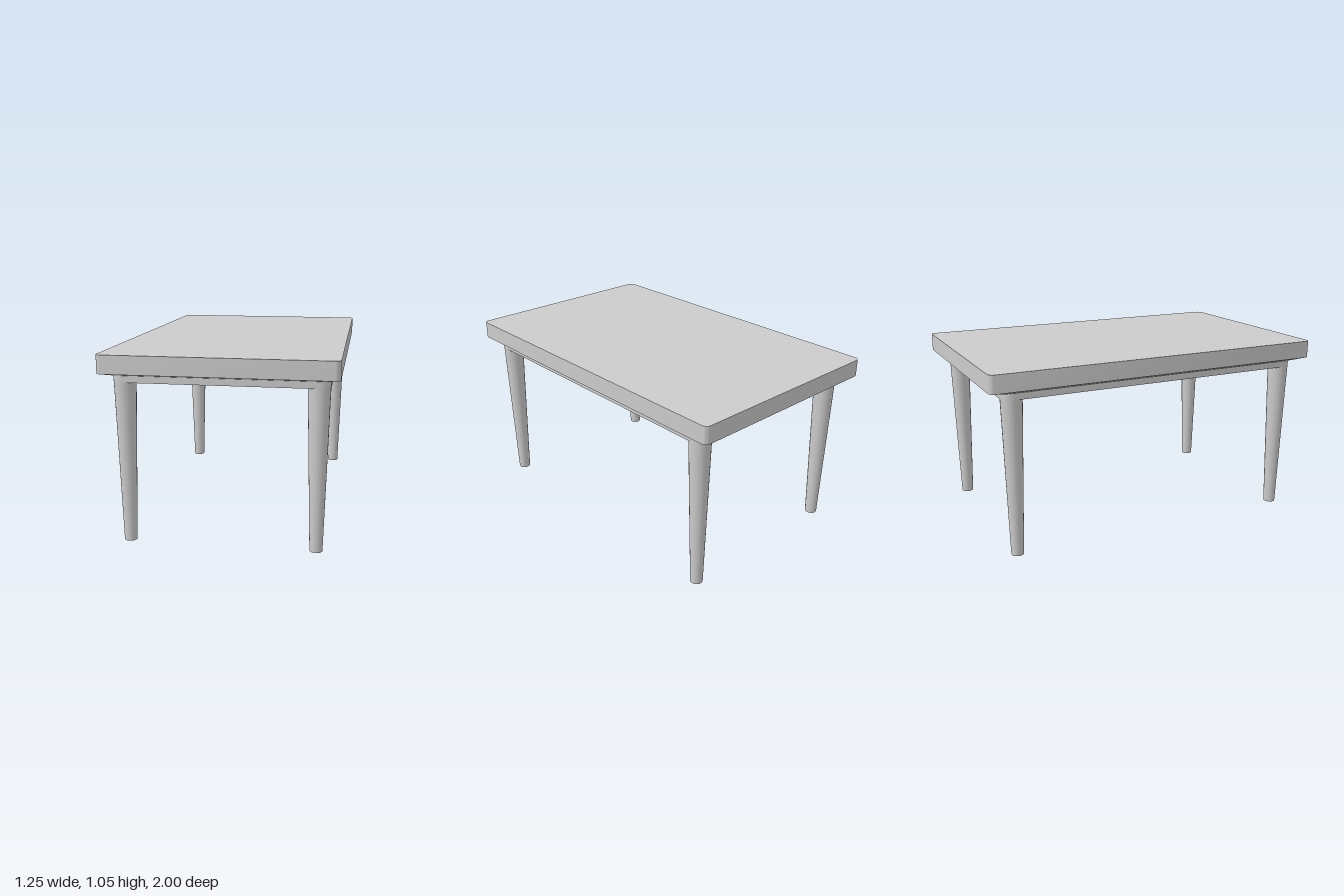
import * as THREE from 'three';
import { toCreasedNormals } from 'three/addons/utils/BufferGeometryUtils.js';

const material = new THREE.MeshStandardMaterial({ color: 0xcccccc });
const CORNER_STEPS = 6;

// Closed outline of a rounded rectangle, walked from +x towards +z
function roundedRing({ y, halfX, halfZ, radius }) {
  const ring = [];
  const signs = [[1, 1], [-1, 1], [-1, -1], [1, -1]];
  signs.forEach(([sx, sz], corner) => {
    for (let i = 0; i <= CORNER_STEPS; i++) {
      const a = (corner + i / CORNER_STEPS) * Math.PI / 2;
      ring.push(new THREE.Vector3(
        sx * (halfX - radius) + radius * Math.cos(a), y,
        sz * (halfZ - radius) + radius * Math.sin(a)));
    }
  });
  return ring;
}

// Solid slab through rounded sections listed from bottom to top
function slab(sections) {
  const rings = sections.map(roundedRing);
  const n = rings[0].length;
  const points = rings.flat();
  const last = (rings.length - 1) * n;
  const bottom = points.push(new THREE.Vector3(0, sections[0].y, 0)) - 1;
  const top = points.push(new THREE.Vector3(0, sections[sections.length - 1].y, 0)) - 1;
  const index = [];
  for (let i = 0; i < n; i++) {
    const j = (i + 1) % n;
    for (let r = 0; r < last; r += n) {
      index.push(r + i, r + n + i, r + j, r + j, r + n + i, r + n + j);
    }
    index.push(bottom, i, j, top, last + j, last + i);
  }
  const geometry = new THREE.BufferGeometry().setFromPoints(points);
  geometry.setIndex(index);
  return toCreasedNormals(geometry, Math.PI / 6);
}

function addMesh(parent, name, geometry) {
  const mesh = new THREE.Mesh(geometry, material);
  mesh.name = name;
  parent.add(mesh);
  return mesh;
}

export function createModel() {
  const table = new THREE.Group();
  table.name = 'table';

  // Top board with a shallow bevel underneath
  addMesh(table, 'tabletop', slab([
    { y: 0.93, halfX: 0.573, halfZ: 0.915, radius: 0.03 },
    { y: 0.95, halfX: 0.625, halfZ: 1, radius: 0.03 },
    { y: 1.05, halfX: 0.625, halfZ: 1, radius: 0.03 },
  ]));

  // Thin apron slab, its corners following the legs
  addMesh(table, 'apron', slab([
    { y: 0.893, halfX: 0.573, halfZ: 0.915, radius: 0.06 },
    { y: 0.93, halfX: 0.573, halfZ: 0.915, radius: 0.06 },
  ]));

  // Four tapered round legs
  const legHeight = 0.9;
  const legGeometry = new THREE.CylinderGeometry(0.06, 0.035, legHeight, 24);
  for (const [front, z] of [['front', 0.854], ['back', -0.854]]) {
    for (const [side, x] of [['Left', 0.513], ['Right', -0.513]]) {
      addMesh(table, `${front}${side}Leg`, legGeometry).position.set(x, legHeight / 2, z);
    }
  }

  return table;
}
